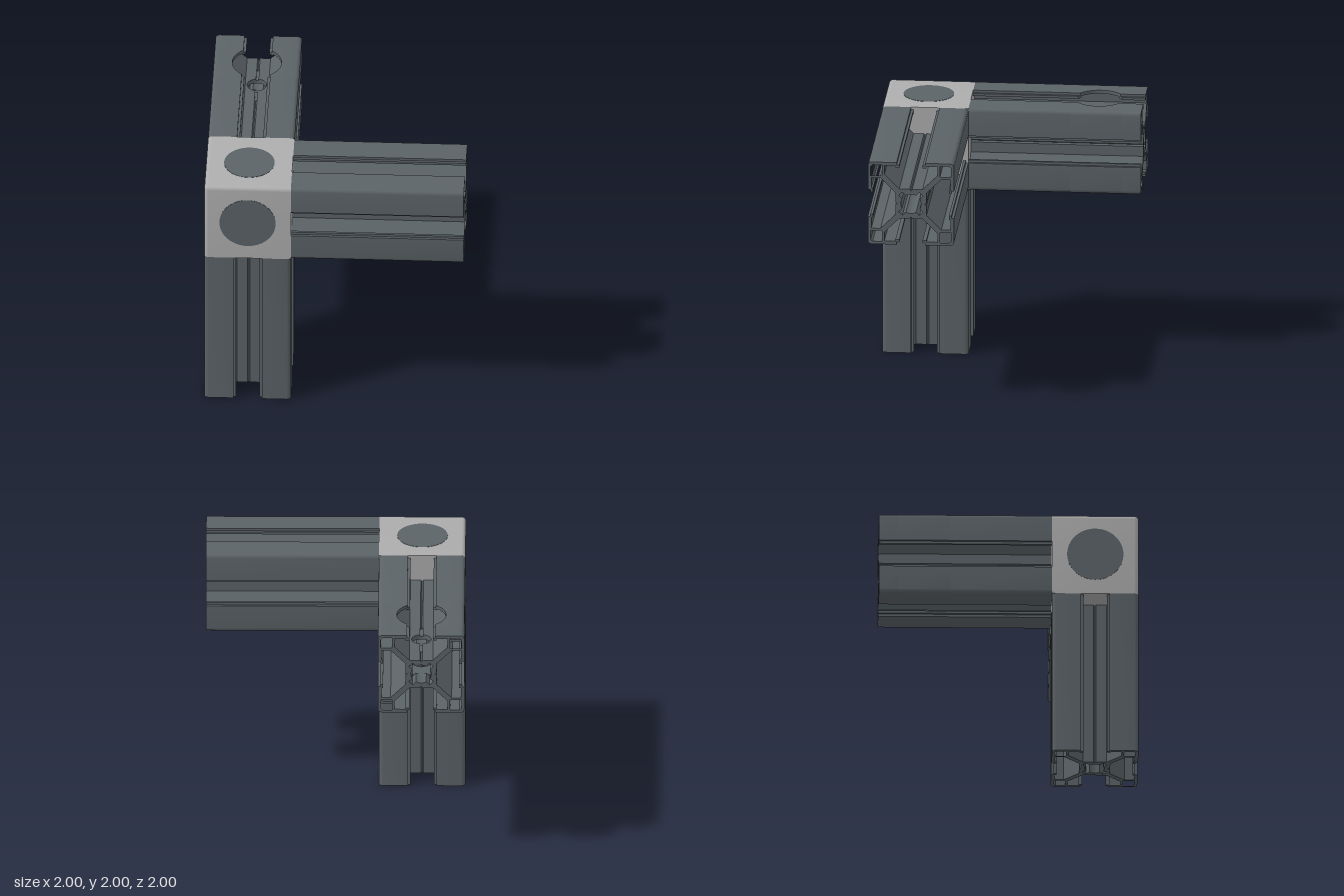
import * as THREE from 'three';
import { toCreasedNormals } from 'three/addons/utils/BufferGeometryUtils.js';
import { RoundedBoxGeometry } from 'three/addons/geometries/RoundedBoxGeometry.js';

const H = 1 / 3;              // half width of the profile
const C = 2 / 3;              // offset of the corner cube
const BORE_Z = -0.65, L = 0.2; // drilled place on the back arm and its half length

// One eighth of the slotted section: slot floor, web, lip, rounded corner
const OCTANT = [
  [0, 0.105], [0.01, 0.12], [0.09, 0.12], [0.205, 0.235], [0.205, 0.306],
  [0.12, 0.306], [0.12, 0.293], [0.09, 0.293], [0.09, 0.313], [0.11, 0.313],
  [0.11, H], [0.303, H], [0.3147, 0.331], [0.3245, 0.3245],
];
const mirrorDiagonal = (pts) => pts.map(([x, y]) => [y, x]).reverse();
const quarterTurn = (pts) => pts.map(([x, y]) => [y, -x]);
const toPoints = (pts) => pts.map(([x, y]) => new THREE.Vector2(x, y));
const QUADRANT = [...OCTANT, ...mirrorDiagonal(OCTANT).slice(1)];

// Square hollow in one corner of the section
function cornerHollow(sx, sy) {
  const a = 0.224, b = 0.311, c = 0.296;
  return new THREE.Path(toPoints(
    [[a, a], [b, a], [b, c], [c, b], [a, b]].map(([x, y]) => [x * sx, y * sy])));
}

// Round centre bore with four diagonal keyways
function centreBore() {
  const pts = [];
  for (let q = 0; q < 4; q++) {
    const base = q * Math.PI / 2;
    for (let i = 0; i <= 6; i++) {
      const a = base + THREE.MathUtils.degToRad(-30 + i * 10);
      pts.push([0.078 * Math.cos(a), 0.078 * Math.sin(a)]);
    }
    for (const s of [-1, 1]) {
      const a = base + Math.PI / 4 + s * 0.18;
      pts.push([0.115 * Math.cos(a), 0.115 * Math.sin(a)]);
    }
  }
  return new THREE.Path(toPoints(pts));
}

function fullSection() {
  const pts = [];
  let quad = QUADRANT;
  for (let q = 0; q < 4; q++) {
    pts.push(...quad.slice(0, -1));
    quad = quarterTurn(quad);
  }
  const shape = new THREE.Shape(toPoints(pts));
  shape.holes.push(centreBore());
  for (const sx of [-1, 1]) for (const sy of [-1, 1]) shape.holes.push(cornerHollow(sx, sy));
  return shape;
}

// One side of the section without upper lip and slot floors, used where the arm is drilled
function drilledSection(side) {
  const pts = [
    ...QUADRANT.slice(2, 4), [0.205, H], ...QUADRANT.slice(11),
    ...quarterTurn(QUADRANT).slice(1, -2), [0.08, -0.08], [0.08, 0.08],
  ].map(([x, y]) => [x * side, y]);
  const shape = new THREE.Shape(toPoints(pts));
  for (const sy of [-1, 1]) shape.holes.push(cornerHollow(side, sy));
  return shape;
}

// Quarter of a strip from x0 to x1 with a round cut of radius r
function cutStrip(x0, x1, r, sx, sz) {
  const pts = [[x0, L], [x1, L]];
  if (x1 > r) pts.push([x1, 0]);
  const from = Math.acos(Math.min(x1 / r, 1)), to = Math.acos(x0 / r);
  for (let i = 0; i <= 16; i++) {
    const a = from + (to - from) * i / 16;
    pts.push([r * Math.cos(a), r * Math.sin(a)]);
  }
  return new THREE.Shape(toPoints(pts.map(([x, z]) => [x * sx, z * sz])));
}

function extrude(shape, depth) {
  const g = new THREE.ExtrudeGeometry(shape, { depth, bevelEnabled: false, curveSegments: 24 });
  return toCreasedNormals(g, 0.45);
}

export function createModel() {
  const dark = new THREE.MeshStandardMaterial({ color: 0x5b6367 });
  dark.name = 'darkGrey';
  const light = new THREE.MeshStandardMaterial({ color: 0xadadad });
  light.name = 'lightGrey';

  const model = new THREE.Group();
  model.name = 'cornerFrame';
  const add = (parent, name, geometry, material) => {
    const mesh = new THREE.Mesh(geometry, material);
    mesh.name = name;
    parent.add(mesh);
    return mesh;
  };

  // Corner cube: outer edges rounded, faces against the arms cut flat
  const r = 0.03;
  const cubeGeo = new RoundedBoxGeometry(2 * H + r, 2 * H + r, 2 * H + r, 4, r);
  cubeGeo.translate(r / 2, -r / 2, -r / 2);
  const p = cubeGeo.attributes.position;
  for (let i = 0; i < p.count; i++) {
    p.setXYZ(i, Math.min(p.getX(i), H), Math.max(p.getY(i), -H), Math.max(p.getZ(i), -H));
  }
  add(model, 'cornerCube', toCreasedNormals(cubeGeo, 0.6), light).position.set(-C, 2 - H, C);

  // Round plugs in the three outer faces
  const plug = (name, radius) =>
    add(model, name, new THREE.CylinderGeometry(radius, radius, 0.008, 48), dark);
  plug('topPlug', 0.195).position.set(-C, 1.998, C);
  const frontPlug = plug('frontPlug', 0.217);
  frontPlug.rotation.x = Math.PI / 2;
  frontPlug.position.set(-C, 2 - H, 0.998);
  const sidePlug = plug('sidePlug', 0.217);
  sidePlug.rotation.z = Math.PI / 2;
  sidePlug.position.set(-0.998, 2 - H, C);

  // Side arm and upright
  const section = fullSection();
  const armGeo = extrude(section, 4 / 3);
  const sideArm = add(model, 'sideArm', armGeo, dark);
  sideArm.rotation.y = Math.PI / 2;
  sideArm.position.set(-H, 2 - H, C);
  const upright = add(model, 'upright', armGeo, dark);
  upright.rotation.x = -Math.PI / 2;
  upright.position.set(-C, 0, C);

  // Back arm: plain at both ends, drilled in between
  const backArm = new THREE.Group();
  backArm.name = 'backArm';
  backArm.position.set(-C, 2 - H, 0);
  model.add(backArm);
  const z0 = BORE_Z - L, z1 = BORE_Z + L;
  add(backArm, 'backArmEnd', extrude(section, z0 + 1), dark).position.z = -1;
  add(backArm, 'backArmRoot', extrude(section, H - z1), dark).position.z = z1;
  for (const side of [-1, 1]) {
    add(backArm, 'drilledSide', extrude(drilledSection(side), 2 * L), dark).position.z = z0;
  }

  // Lips and slot floors around the drilled holes: x0, x1, bottom, top, radius
  const strips = [
    ['cutLip', 0.11, 0.205, 0.306, H, 0.19],
    ['cutLipHook', 0.09, 0.12, 0.293, 0.313, 0.19],
    ['upperSlotFloor', 0.01, 0.09, 0.105, 0.12, 0.075],
    ['upperSlotFloorBase', 0, 0.09, 0.08, 0.105, 0.075],
    ['lowerSlotFloor', 0.01, 0.09, -0.12, -0.105, 0.075],
    ['lowerSlotFloorBase', 0, 0.09, -0.105, -0.08, 0.075],
  ];
  for (const [name, x0, x1, bottom, top, radius] of strips) {
    for (const sx of [-1, 1]) for (const sz of [-1, 1]) {
      const g = extrude(cutStrip(x0, x1, radius, sx, sz), top - bottom).rotateX(-Math.PI / 2);
      add(backArm, name, g, dark).position.set(0, bottom, BORE_Z);
    }
  }
  return model;
}
